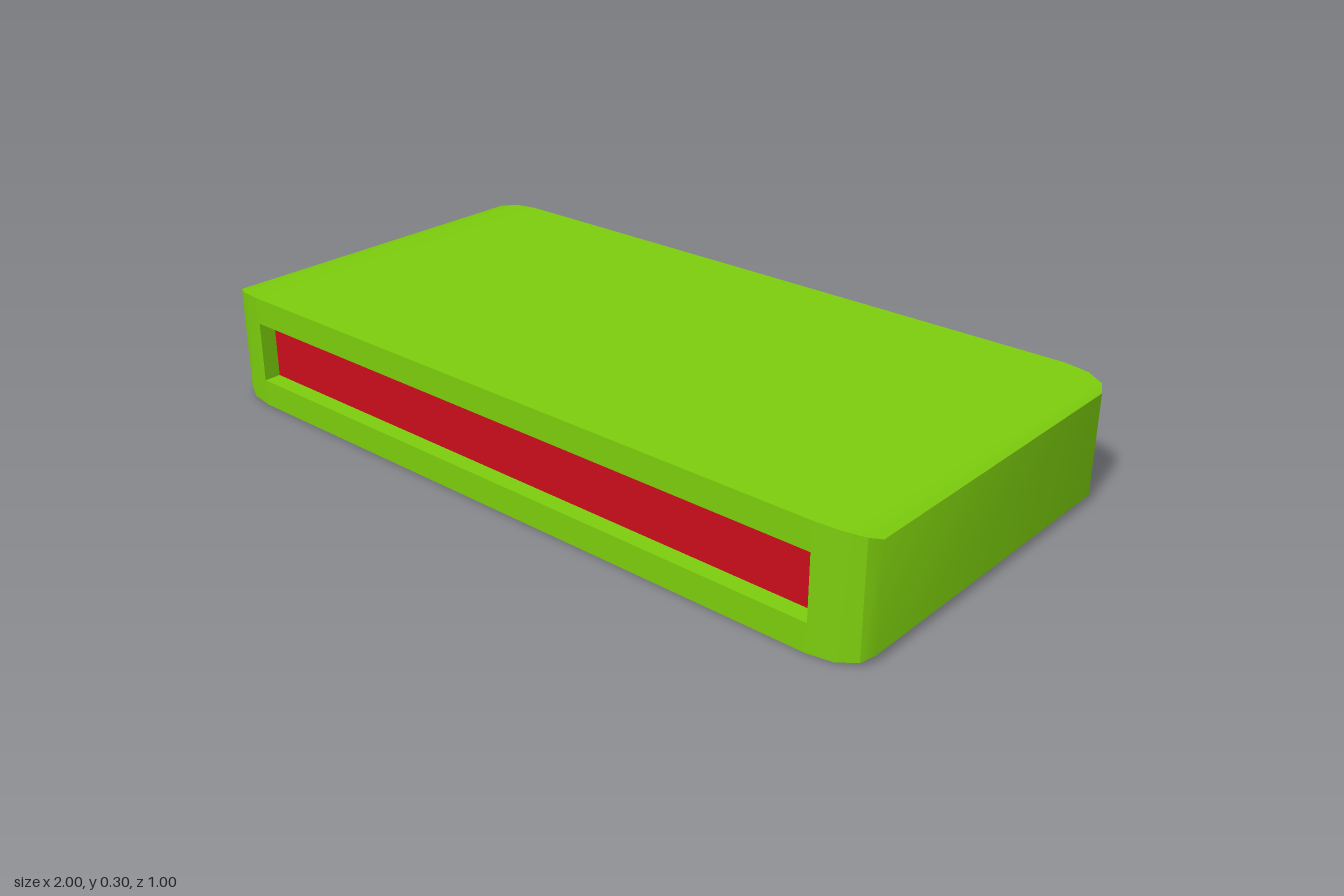
import * as THREE from 'three';
import { toCreasedNormals } from 'three/addons/utils/BufferGeometryUtils.js';

const HEIGHT = 0.3, HALF_DEPTH = 0.5;
const STRAIGHT = 0.875;               // half length of the straight middle
const SLOT_LOW = 0.07, SLOT_HIGH = 0.23;
const WEB = 0.44, PANEL = 0.455;      // half depths of the inner web and the panel

export function createModel() {
  const model = new THREE.Group();
  const green = new THREE.MeshStandardMaterial({ color: 0x7bcc0d });
  const red = new THREE.MeshStandardMaterial({ color: 0xc80d1b });

  const add = (name, geometry, material) => {
    const mesh = new THREE.Mesh(geometry, material);
    mesh.name = name;
    model.add(mesh);
    return mesh;
  };

  // Straight middle of the case: a section with a slot front and back, run along x
  const half = [
    [HALF_DEPTH, 0], [HALF_DEPTH, SLOT_LOW], [WEB, SLOT_LOW],
    [WEB, SLOT_HIGH], [HALF_DEPTH, SLOT_HIGH], [HALF_DEPTH, HEIGHT],
  ];
  const outline = [...half, ...half.map(([z, y]) => [-z, y]).reverse()];
  const section = new THREE.Shape(outline.map(([z, y]) => new THREE.Vector2(z, y)));
  const middle = new THREE.ExtrudeGeometry(section, { depth: 2 * STRAIGHT, bevelEnabled: false });
  middle.translate(0, 0, -STRAIGHT).rotateY(Math.PI / 2);
  add('caseMiddle', middle, green);

  // Rounded end: a box whose slices shrink along a quarter ellipse
  const box = new THREE.BoxGeometry(1, 1, 1, 3, 1, 1);
  const p = box.attributes.position;
  for (let i = 0; i < p.count; i++) {
    const a = (p.getX(i) + 0.5) * Math.PI / 2;
    p.setXYZ(i,
      STRAIGHT + (1 - STRAIGHT) * Math.sin(a),
      HEIGHT / 2 + Math.sign(p.getY(i)) * (0.13 + 0.02 * Math.cos(a)),
      Math.sign(p.getZ(i)) * (0.44 + 0.06 * Math.cos(a)));
  }
  const end = toCreasedNormals(box, Math.PI / 6);
  add('leftEnd', end, green);
  add('rightEnd', end, green).rotation.y = Math.PI;

  // Recessed panels at the bottom of the slots
  for (const [name, side] of [['frontPanel', 1], ['backPanel', -1]]) {
    const panel = new THREE.BoxGeometry(2 * STRAIGHT, SLOT_HIGH - SLOT_LOW, PANEL - WEB);
    add(name, panel, red).position.set(0, (SLOT_LOW + SLOT_HIGH) / 2, side * (PANEL + WEB) / 2);
  }

  return model;
}
